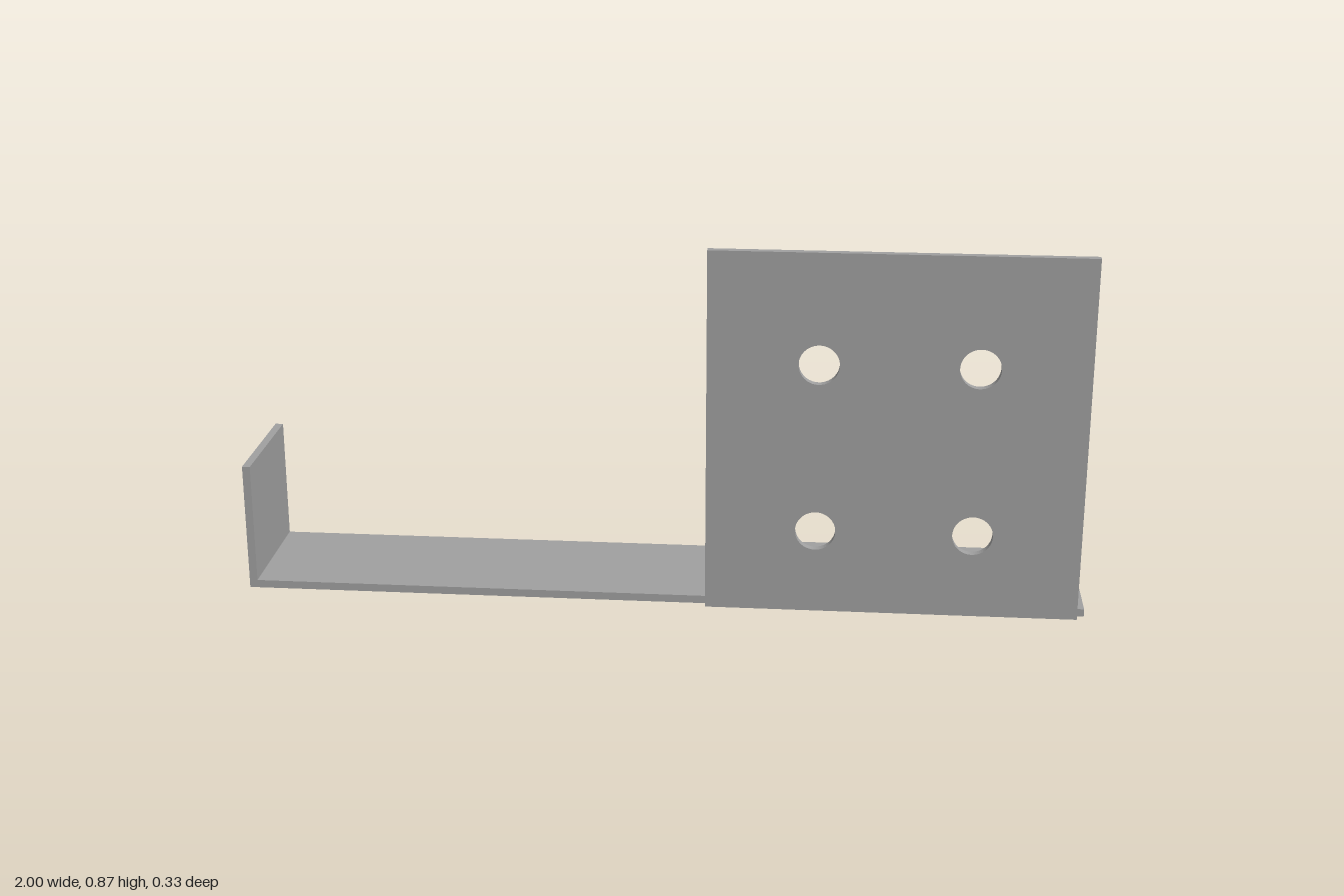
import * as THREE from 'three';

const T = 0.019; // sheet thickness
const BACK = -0.163, FRONT = 0.145;
const HOLE_X = [0.365, 0.73], HOLE_R = 0.047;

export function createModel() {
  const group = new THREE.Group();
  const material = new THREE.MeshStandardMaterial({ color: 0xa0a0a0 });

  const add = (name, geometry) => {
    const mesh = new THREE.Mesh(geometry, material);
    mesh.name = name;
    group.add(mesh);
    return mesh;
  };

  // Rectangular sheet with round holes, extruded by its thickness
  const sheet = (x0, y0, x1, y1, holes) => {
    const shape = new THREE.Shape();
    shape.moveTo(x0, y0).lineTo(x1, y0).lineTo(x1, y1).lineTo(x0, y1).closePath();
    for (const [x, y] of holes) {
      const hole = new THREE.Path();
      hole.absarc(x, y, HOLE_R, 0, Math.PI * 2, true);
      shape.holes.push(hole);
    }
    return new THREE.ExtrudeGeometry(shape, { depth: T, bevelEnabled: false, curveSegments: 32 });
  };

  // Horizontal sheets: shape y becomes -z
  const floor = (name, x0, x1, y, holeZ) => {
    const holes = HOLE_X.map((x) => [x, -holeZ]);
    const geometry = sheet(x0, -FRONT, x1, -BACK, holes).rotateX(-Math.PI / 2);
    add(name, geometry).position.y = y;
  };
  floor('baseStrip', -1, 1, 0, -0.008);
  floor('angleShelf', 0.108, 0.982, T, -0.012);

  // Tall front plate with four holes
  const plateHoles = HOLE_X.flatMap((x) => [0.203, 0.61].map((y) => [x, y]));
  add('frontPlate', sheet(0.108, 0, 0.982, 0.874, plateHoles)).position.z = FRONT;

  // Upright tabs at the strip's end and beside the plate
  const tab = (name, x, y0) => {
    const h = 0.312 - y0;
    add(name, new THREE.BoxGeometry(T, h, FRONT - BACK))
      .position.set(x + T / 2, y0 + h / 2, (FRONT + BACK) / 2);
  };
  tab('endTab', -1, T);
  tab('middleTab', 0.108, 2 * T);

  return group;
}
